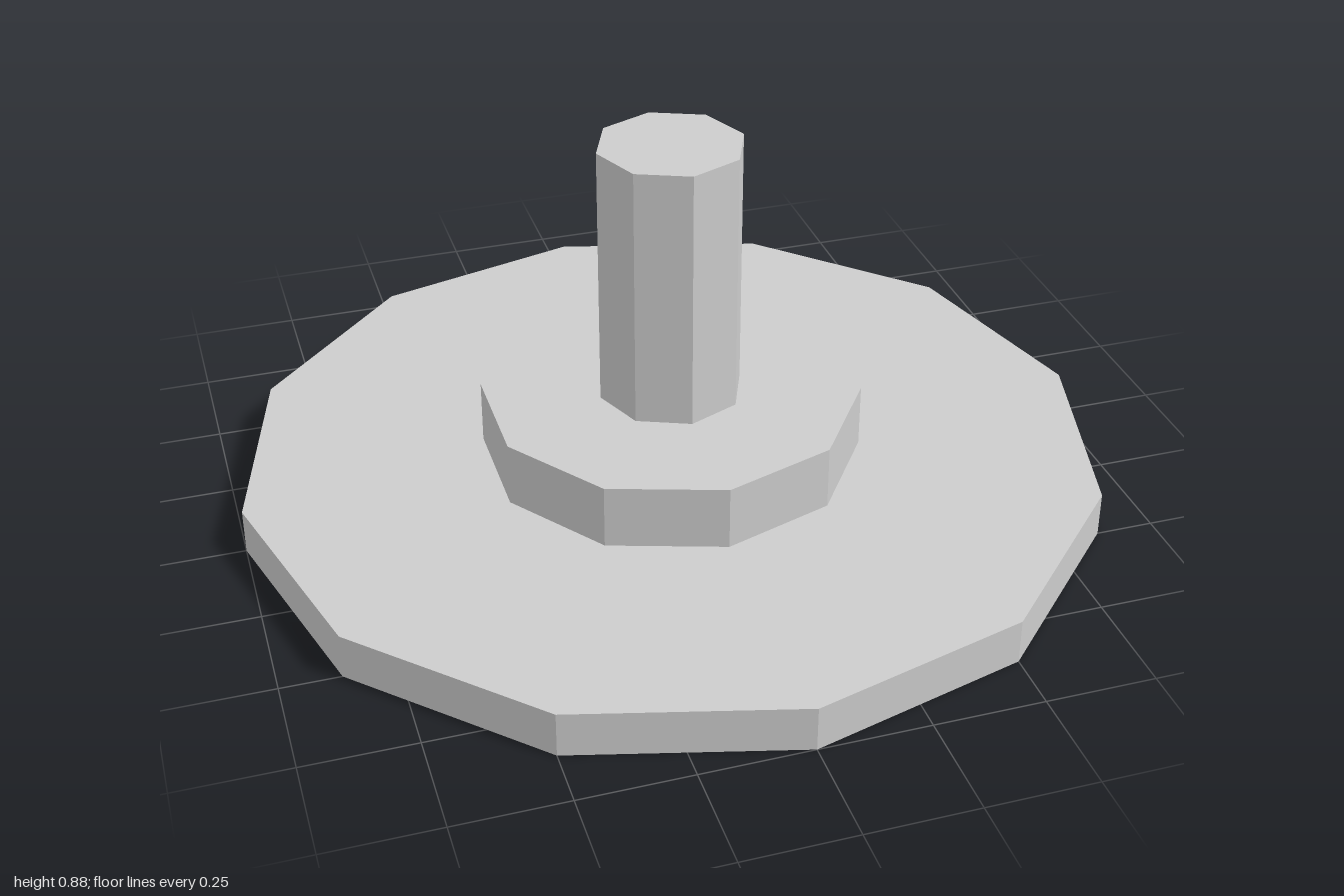
import * as THREE from 'three';

export function createModel() {
  const model = new THREE.Group();
  const grey = new THREE.MeshStandardMaterial({ color: 0xcccccc, flatShading: true });
  grey.name = 'plain grey';

  // Stacked prisms: name, radius, number of sides, bottom, top
  const parts = [
    ['baseDisc', 1, 12, 0, 0.105],
    ['collar', 0.44, 10, 0.105, 0.255],
    ['post', 0.168, 8, 0.255, 0.875],
  ];
  for (const [name, radius, sides, bottom, top] of parts) {
    const mesh = new THREE.Mesh(
      new THREE.CylinderGeometry(radius, radius, top - bottom, sides), grey);
    mesh.name = name;
    mesh.position.y = (bottom + top) / 2;
    model.add(mesh);
  }
  return model;
}
